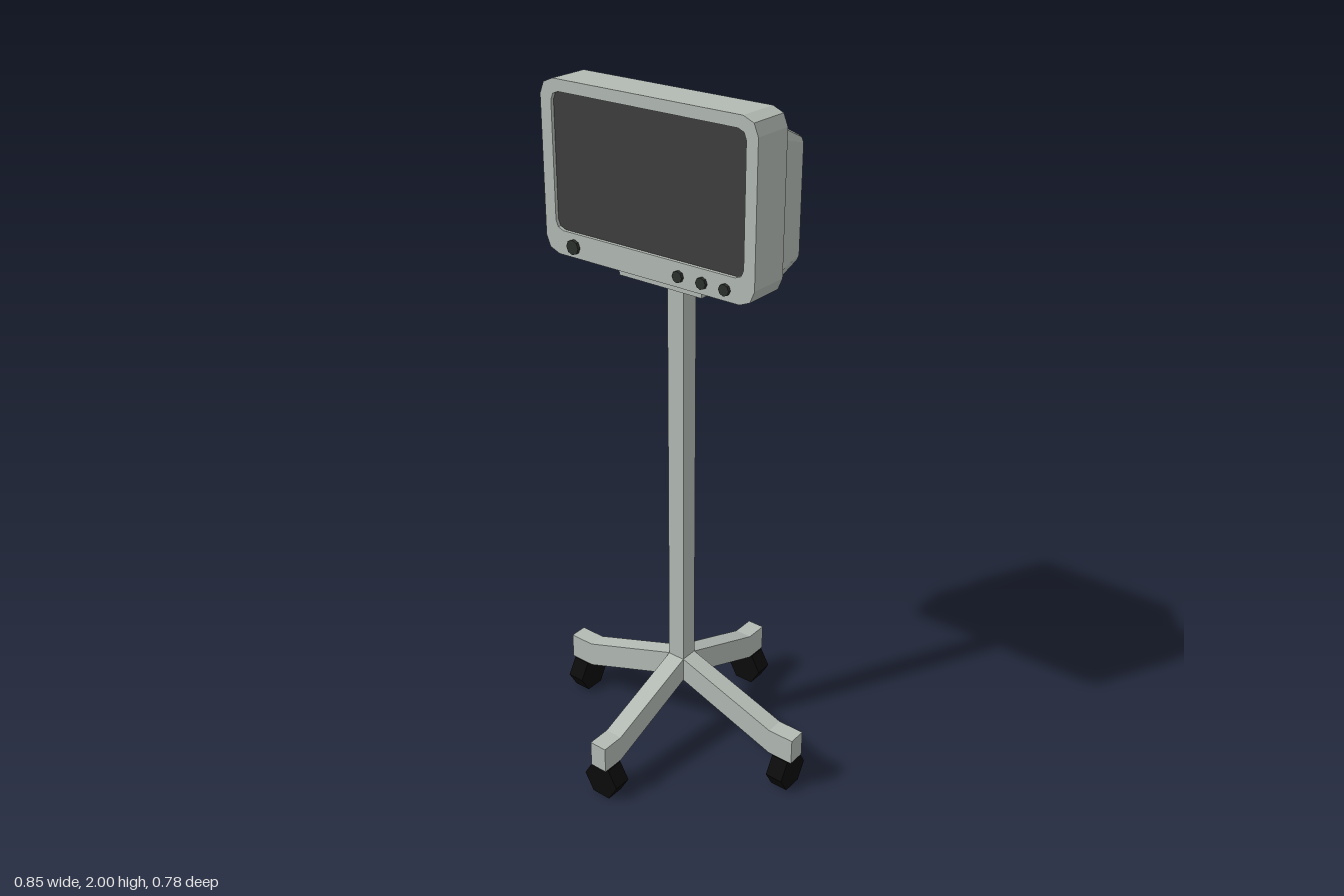
import * as THREE from 'three';

const mat = (name, color) => {
  const m = new THREE.MeshStandardMaterial({ color });
  m.name = name;
  return m;
};

// Rounded rectangle outline, anticlockwise, two facets per corner
function roundedRect(x0, y0, x1, y1, r) {
  const centres = [[x0 + r, y0 + r], [x1 - r, y0 + r], [x1 - r, y1 - r], [x0 + r, y1 - r]];
  const points = [];
  centres.forEach(([cx, cy], corner) => {
    for (let s = 0; s <= 2; s++) {
      const a = Math.PI + corner * Math.PI / 2 + s * Math.PI / 4;
      points.push(new THREE.Vector2(cx + r * Math.cos(a), cy + r * Math.sin(a)));
    }
  });
  return points;
}

function extrude(shape, depth) {
  return new THREE.ExtrudeGeometry(shape, { depth, bevelEnabled: false });
}

// Flat-faced skin between two outlines, closed at the rear
function loft(front, zFront, back, zBack) {
  const pos = [];
  const add = (p, z) => pos.push(p.x, p.y, z);
  const n = front.length;
  for (let i = 0; i < n; i++) {
    const j = (i + 1) % n;
    add(front[i], zFront); add(back[i], zBack); add(back[j], zBack);
    add(front[i], zFront); add(back[j], zBack); add(front[j], zFront);
    if (i > 0 && j > 0) {
      add(back[0], zBack); add(back[j], zBack); add(back[i], zBack);
    }
  }
  const g = new THREE.BufferGeometry();
  g.setAttribute('position', new THREE.Float32BufferAttribute(pos, 3));
  g.computeVertexNormals();
  return g;
}

// Cylinder with flat facets
function prism(radius, length, sides) {
  const g = new THREE.CylinderGeometry(radius, radius, length, sides).toNonIndexed();
  g.computeVertexNormals();
  return g;
}

export function createModel() {
  const model = new THREE.Group();
  model.name = 'monitorOnStand';
  const casing = mat('greyCasing', 0xb3bab4);
  const glass = mat('darkScreen', 0x3e3e3e);
  const rubber = mat('blackRubber', 0x0b0b0b);
  const control = mat('darkControl', 0x2c302d);

  const add = (parent, name, geometry, material, x = 0, y = 0, z = 0) => {
    const mesh = new THREE.Mesh(geometry, material);
    mesh.name = name;
    mesh.position.set(x, y, z);
    parent.add(mesh);
    return mesh;
  };

  // Monitor: front frame, recessed screen and tapered rear housing
  const monitor = new THREE.Group();
  monitor.name = 'monitor';
  model.add(monitor);

  const opening = roundedRect(-0.333, 1.598, 0.286, 1.968, 0.025);
  const frame = new THREE.Shape(roundedRect(-0.37, 1.53, 0.32, 2.0, 0.045));
  frame.holes.push(new THREE.Path(opening));
  add(monitor, 'frontFrame', extrude(frame, 0.12), casing);
  add(monitor, 'screen', extrude(new THREE.Shape(opening), 0.008), glass, 0, 0, 0.102);

  const housing = loft(
    roundedRect(-0.355, 1.537, 0.306, 1.967, 0.045), 0,
    roundedRect(-0.267, 1.531, 0.22, 1.872, 0.02), -0.222);
  add(monitor, 'rearHousing', housing, casing);

  // Control knobs along the lower edge
  [[-0.27, 0.021], [0.085, 0.016], [0.16, 0.016], [0.232, 0.016]].forEach(([x, r]) => {
    add(monitor, 'knob', prism(r, 0.009, 8).rotateX(Math.PI / 2), control, x, 1.561, 0.1245);
  });

  // Mounting plate and pole
  add(model, 'mountingPlate', new THREE.BoxGeometry(0.275, 0.028, 0.185), casing, 0, 1.519, 0);
  add(model, 'pole', new THREE.BoxGeometry(0.054, 1.28, 0.054), casing, 0, 0.868, 0);

  // Four sloping legs, each with a six-sided caster
  for (let i = 0; i < 4; i++) {
    const [knee, end, wheelX] = i % 2 ? [0.32, 0.39, 0.355] : [0.347, 0.427, 0.39];
    const leg = new THREE.Group();
    leg.name = 'legWithCaster';
    leg.rotation.y = i * Math.PI / 2;
    const profile = new THREE.Shape([
      [0, 0.228], [knee, 0.104], [end, 0.104], [end, 0.185], [knee, 0.185], [0, 0.305],
    ].map(([x, y]) => new THREE.Vector2(x, y)));
    add(leg, 'leg', extrude(profile, 0.054), casing, 0, 0, -0.027);
    const wheel = prism(0.06, 0.054, 6).rotateZ(Math.PI / 2);
    add(leg, 'caster', wheel, rubber, wheelX, 0.052, 0);
    model.add(leg);
  }

  return model;
}
